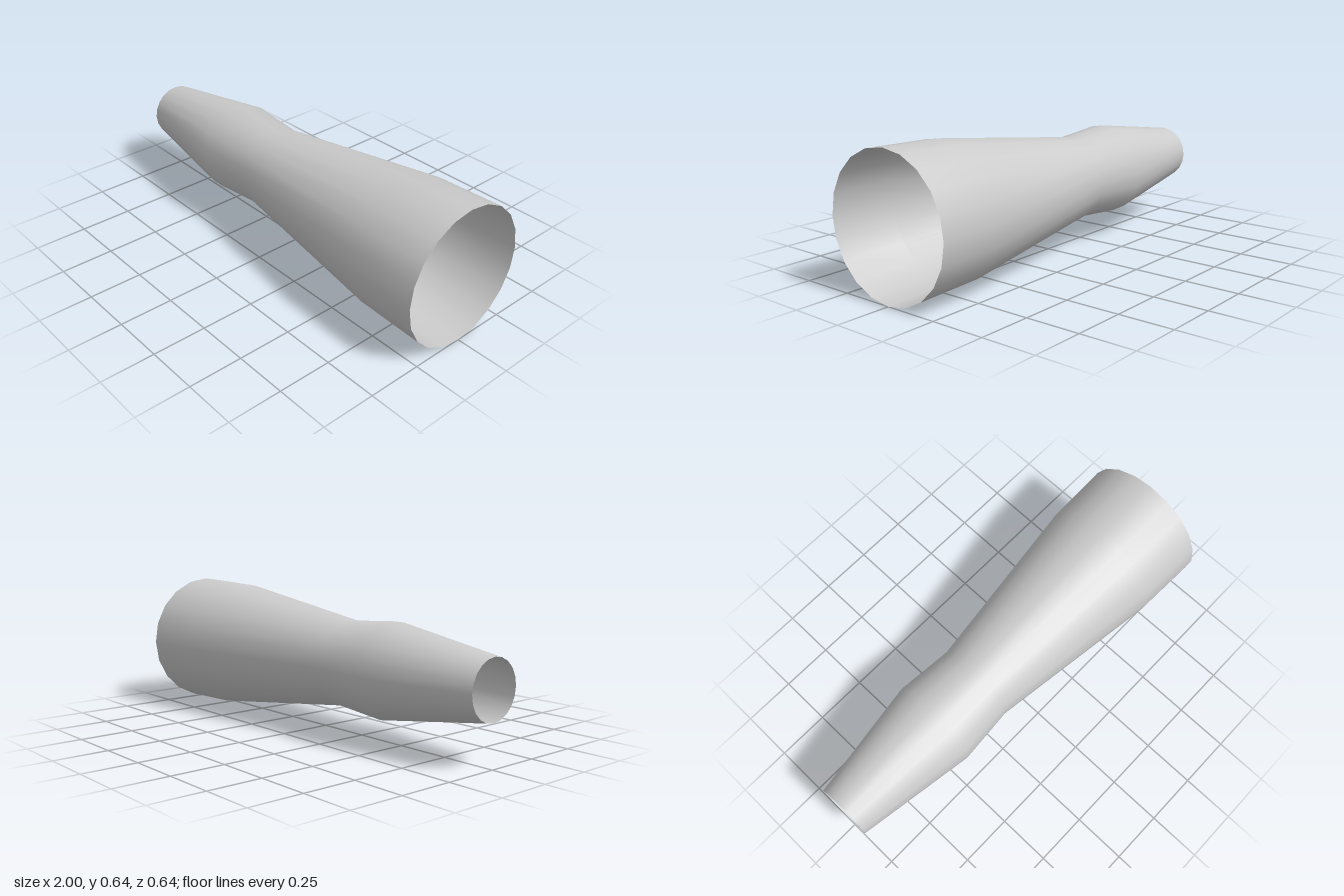
import * as THREE from 'three';

export function createModel() {
  const group = new THREE.Group();
  const material = new THREE.MeshStandardMaterial({ color: 0xcccccc, side: THREE.DoubleSide });

  // Open tapered tube: [position along the axis, radius], narrow end first
  const profile = [
    [-1, 0.132],
    [-0.44, 0.217],
    [-0.17, 0.196],
    [0.68, 0.309],
    [1, 0.3185],
  ].map(([along, radius]) => new THREE.Vector2(radius, along));

  const geometry = new THREE.LatheGeometry(profile, 20);
  geometry.rotateZ(-Math.PI / 2); // lay the axis along x, wide end at +x

  const tube = new THREE.Mesh(geometry, material);
  tube.name = 'taperedTube';
  tube.position.y = 0.32;
  group.add(tube);
  return group;
}
